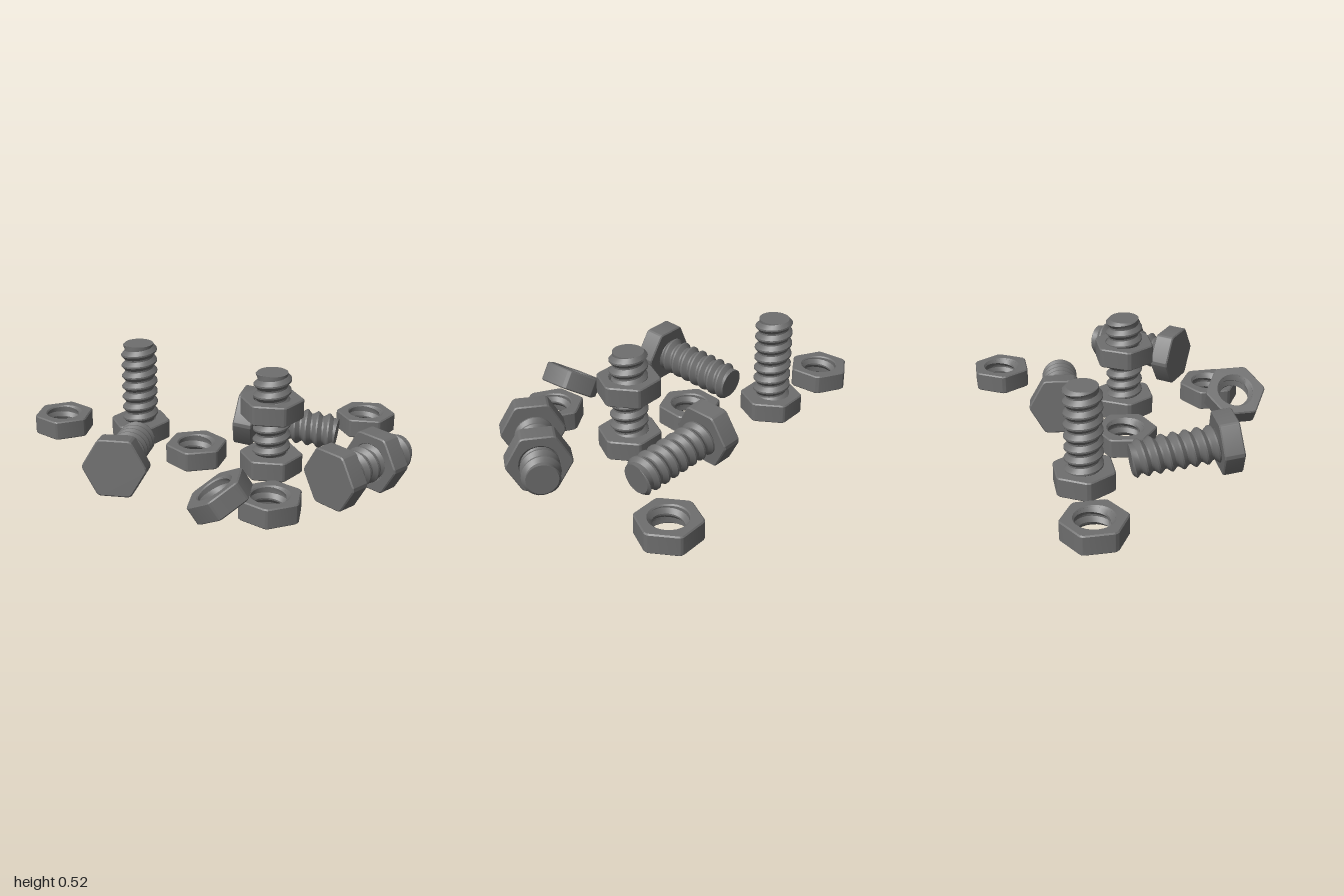
import * as THREE from 'three';
import { toCreasedNormals } from 'three/addons/utils/BufferGeometryUtils.js';

const steel = new THREE.MeshStandardMaterial({ color: 0x6e6e6e });
steel.name = 'dark steel';

const DEG = Math.PI / 180;
const R = 0.16;          // hexagon corner radius before rounding
const H = 0.1;           // height of heads and nuts
const BEVEL = 0.006;
const ROOT = 0.075, CREST = 0.093, PITCH = 0.058;
const HOLE = 0.09;
const SHAFT_END = 0.47;  // measured from the middle of the head
const NUT_ON_BOLT = 0.29;

// Hexagonal prism with softened corners, centred on the origin, axis along y
function hexGeometry(hole) {
  const shape = new THREE.Shape();
  const corner = (i) => new THREE.Vector2(Math.cos(i * 60 * DEG), Math.sin(i * 60 * DEG)).multiplyScalar(R);
  for (let i = 0; i < 6; i++) {
    const c = corner(i);
    const a = c.clone().lerp(corner(i - 1), 0.12);
    const b = c.clone().lerp(corner(i + 1), 0.12);
    if (i === 0) shape.moveTo(a.x, a.y);
    else shape.lineTo(a.x, a.y);
    shape.quadraticCurveTo(c.x, c.y, b.x, b.y);
  }
  shape.closePath();
  if (hole) {
    const path = new THREE.Path();
    path.absarc(0, 0, HOLE, 0, Math.PI * 2, true);
    shape.holes.push(path);
  }
  const geo = new THREE.ExtrudeGeometry(shape, {
    depth: H - 2 * BEVEL, bevelEnabled: true, bevelSegments: 1,
    bevelSize: BEVEL, bevelThickness: BEVEL, bevelOffset: -BEVEL, curveSegments: 12,
  });
  geo.translate(0, 0, BEVEL - H / 2);
  geo.rotateX(-Math.PI / 2);
  return toCreasedNormals(geo, 0.6);
}

// Helical thread: a plane wrapped round the y axis, one pitch higher per turn
function threadGeometry(y0, y1, inner) {
  const turns = Math.ceil((y1 - y0) / PITCH) + 1;
  const rows = turns * 4;
  const steps = [0, 0.15, 0.5, 0.65];
  const geo = new THREE.PlaneGeometry(1, 1, 28, rows);
  const pos = geo.attributes.position;
  for (let i = 0; i < pos.count; i++) {
    const u = pos.getX(i) + 0.5;
    const row = Math.round((pos.getY(i) + 0.5) * rows);
    const rise = Math.floor(row / 4) + steps[row % 4] + u - 1;
    const y = THREE.MathUtils.clamp(y0 + rise * PITCH, y0, y1);
    let r = row % 4 < 2 ? ROOT : CREST;
    if (inner) {
      // flare to the rim of the hole at both ends
      r = Math.max(r - 0.003, HOLE - Math.min(y - y0, y1 - y));
      r = Math.min(r, HOLE);
    } else {
      r = Math.min(r, ROOT + (y1 - y));   // chamfered tip
    }
    const a = u * Math.PI * 2;
    pos.setXYZ(i, Math.sin(a) * r, y, Math.cos(a) * r);
  }
  if (inner) geo.index.array.reverse();   // face the axis
  return toCreasedNormals(geo, 0.6);
}

function part(name, geo) {
  const mesh = new THREE.Mesh(geo, steel);
  mesh.name = name;
  return mesh;
}

export function createModel() {
  const model = new THREE.Group();
  model.name = 'nutsAndBolts';

  const headGeo = hexGeometry(false);
  const nutGeo = hexGeometry(true);
  const shaftGeo = threadGeometry(0.04, SHAFT_END, false);
  const nutThreadGeo = threadGeometry(BEVEL - H / 2, H / 2 - BEVEL, true);
  const tipGeo = new THREE.CircleGeometry(ROOT, 28).rotateX(-Math.PI / 2).translate(0, SHAFT_END, 0);

  function makeNut(name, spin = 0) {
    const nut = new THREE.Group();
    nut.name = name;
    const body = part('nutBody', nutGeo);
    const thread = part('nutThread', nutThreadGeo);
    body.rotation.y = spin * DEG;
    nut.add(body, thread);
    return nut;
  }

  // lean tips the shaft away from vertical, heading turns it about y
  function addBolt(name, x, y, z, lean, heading, withNut) {
    const bolt = new THREE.Group();
    bolt.name = name;
    bolt.add(part('boltHead', headGeo), part('threadedShaft', shaftGeo), part('shaftTip', tipGeo));
    if (withNut) {
      const nut = makeNut('fittedNut');
      nut.position.y = NUT_ON_BOLT;
      bolt.add(nut);
    }
    bolt.rotation.set(-lean * DEG, heading * DEG, 0, 'YXZ');
    bolt.position.set(x, y, z);
    model.add(bolt);
  }

  function addNut(name, x, y, z, spin, tilt = 0) {
    const nut = makeNut(name, spin);
    nut.position.set(x, y, z);
    nut.rotation.z = tilt * DEG;
    model.add(nut);
  }

  // Bolts standing on their heads
  addBolt('standingBolt', -0.432, 0.055, -0.308, 0, 0, false);
  addBolt('standingBoltWithNut', 0.302, 0.055, 0.016, 0, 0, true);

  // Bolts lying down
  addBolt('lyingBoltFront', -0.393, 0.146, 0.385, 96, 0, false);
  addBolt('lyingBoltBack', 0.144, 0.146, -0.342, 96, -96.5, false);
  addBolt('lyingBoltWithNut', 0.634, 0.146, 0.342, 90, -39, true);

  // Loose nuts, the last one leaning on its neighbour
  addNut('looseNutLeft', -0.86, 0.055, -0.327, 30);
  addNut('looseNutMiddle', -0.085, 0.055, -0.048, 21);
  addNut('looseNutBack', 0.749, 0.055, -0.595, 0);
  addNut('looseNutFront', 0.35, 0.055, 0.488, 30);
  addNut('leaningNut', 0.13, 0.118, 0.567, 30, 33);

  return model;
}
